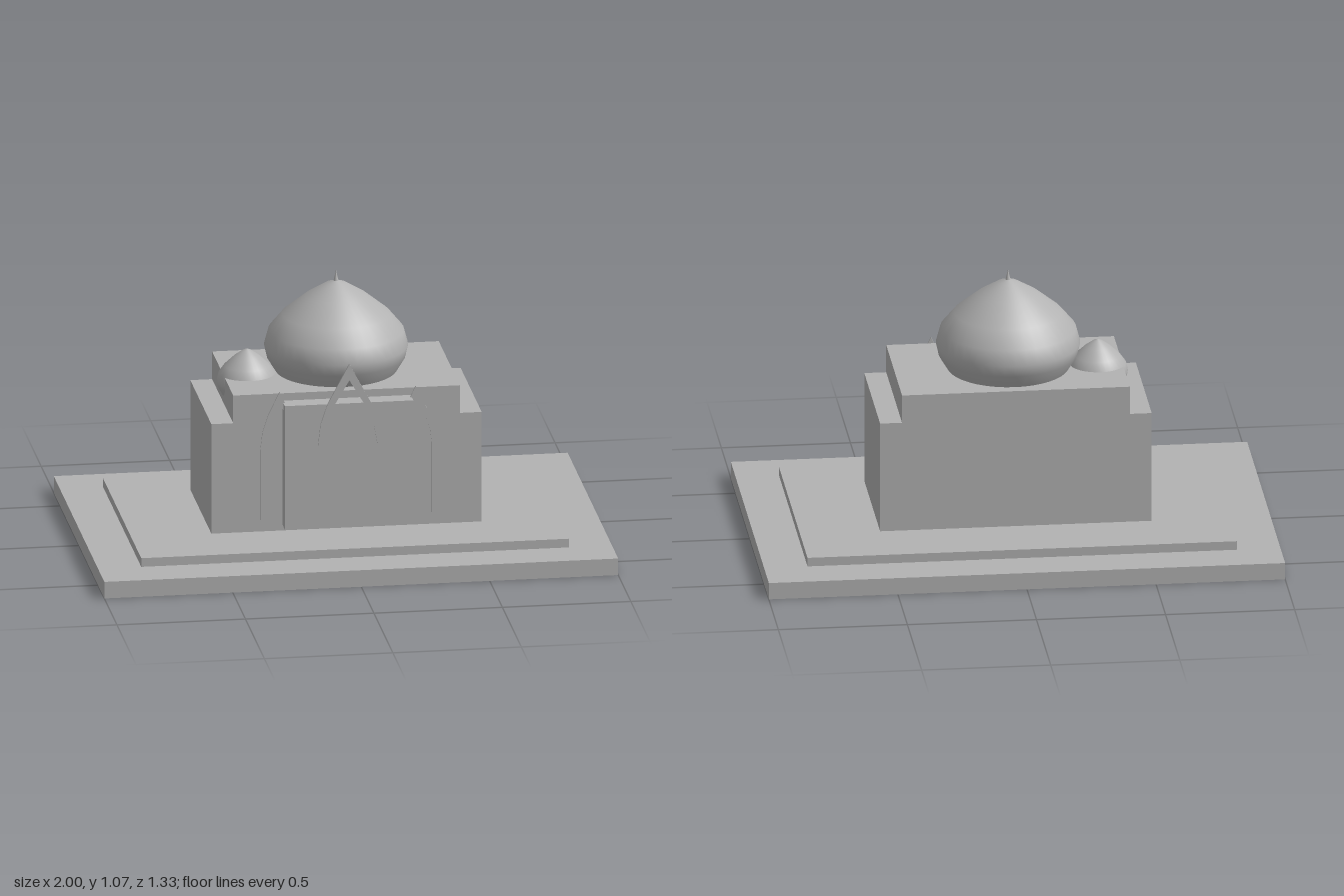
import * as THREE from 'three';

export function createModel() {
  const model = new THREE.Group();
  const stone = new THREE.MeshStandardMaterial({ color: 0xb2b2b2, side: THREE.DoubleSide });
  stone.name = 'grey stone';

  function add(name, geometry, x = 0, y = 0, z = 0) {
    const mesh = new THREE.Mesh(geometry, stone);
    mesh.name = name;
    mesh.position.set(x, y, z);
    model.add(mesh);
    return mesh;
  }

  // Box given by its width, bottom, top, back and front
  function block(name, w, y0, y1, z0, z1) {
    add(name, new THREE.BoxGeometry(w, y1 - y0, z1 - z0), 0, (y0 + y1) / 2, (z0 + z1) / 2);
  }

  // Stepped plinth
  block('lowerPlinth', 2, 0, 0.067, -0.667, 0.667);
  block('upperPlinth', 1.664, 0.067, 0.102, -0.502, 0.502);

  // Main hall with stepped shoulders
  const half = [[0.526, 0.115], [0.526, 0.558], [0.441, 0.558], [0.441, 0.67]];
  const mirrored = half.map(([x, y]) => [-x, y]).reverse();
  const hall = new THREE.Shape([...half, ...mirrored].map(([x, y]) => new THREE.Vector2(x, y)));
  add('hall', new THREE.ExtrudeGeometry(hall, { depth: 0.556, bevelEnabled: false }), 0, 0, -0.278);

  // Projecting porch
  block('porch', 0.5, 0.14, 0.64, 0.278, 0.347);

  // Thin pointed arch frames: right halves of the outer and inner outlines, foot to apex
  function arch(name, outer, inner, x, z, depth) {
    const flip = (list) => list.slice(0, -1).map(([px, py]) => [-px, py]).reverse();
    const outline = [...outer, ...flip(outer), ...flip(inner).reverse(), ...[...inner].reverse()];
    const shape = new THREE.Shape(outline.map(([px, py]) => new THREE.Vector2(px, py)));
    add(name, new THREE.ExtrudeGeometry(shape, { depth, bevelEnabled: false }), x, 0, z);
  }
  arch('centreArch',
    [[0.122, 0.17], [0.122, 0.47], [0.112, 0.56], [0.085, 0.64], [0, 0.8]],
    [[0.11, 0.17], [0.11, 0.47], [0.096, 0.55], [0.062, 0.63], [0, 0.735]], 0, 0.346, 0.008);
  for (const side of [-1, 1]) {
    arch(side < 0 ? 'rightArch' : 'leftArch',
      [[0.075, 0.17], [0.075, 0.45], [0.066, 0.525], [0.045, 0.59], [0, 0.685]],
      [[0.063, 0.17], [0.063, 0.45], [0.055, 0.515], [0.036, 0.57], [0, 0.64]],
      side * 0.265, 0.302, 0.006);
  }

  // Onion domes share one profile, measured from the widest ring
  const profile = [
    [0.215, -0.13], [0.233, -0.103], [0.268, -0.045], [0.278, 0], [0.262, 0.06],
    [0.208, 0.125], [0.118, 0.198], [0.04, 0.246], [0, 0.26],
  ];
  const points = profile.map(([r, y]) => new THREE.Vector2(r, y));
  add('mainDome', new THREE.LatheGeometry(points, 40), 0, 0.77, 0);
  add('smallDome', new THREE.LatheGeometry(points, 32), -0.347, 0.64, 0).scale.set(0.42, 0.49, 0.42);

  // Finial spike
  const spike = [[0.012, 1.02], [0.006, 1.04], [0.003, 1.055], [0, 1.07]];
  add('finial', new THREE.LatheGeometry(spike.map(([r, y]) => new THREE.Vector2(r, y)), 12));

  return model;
}
